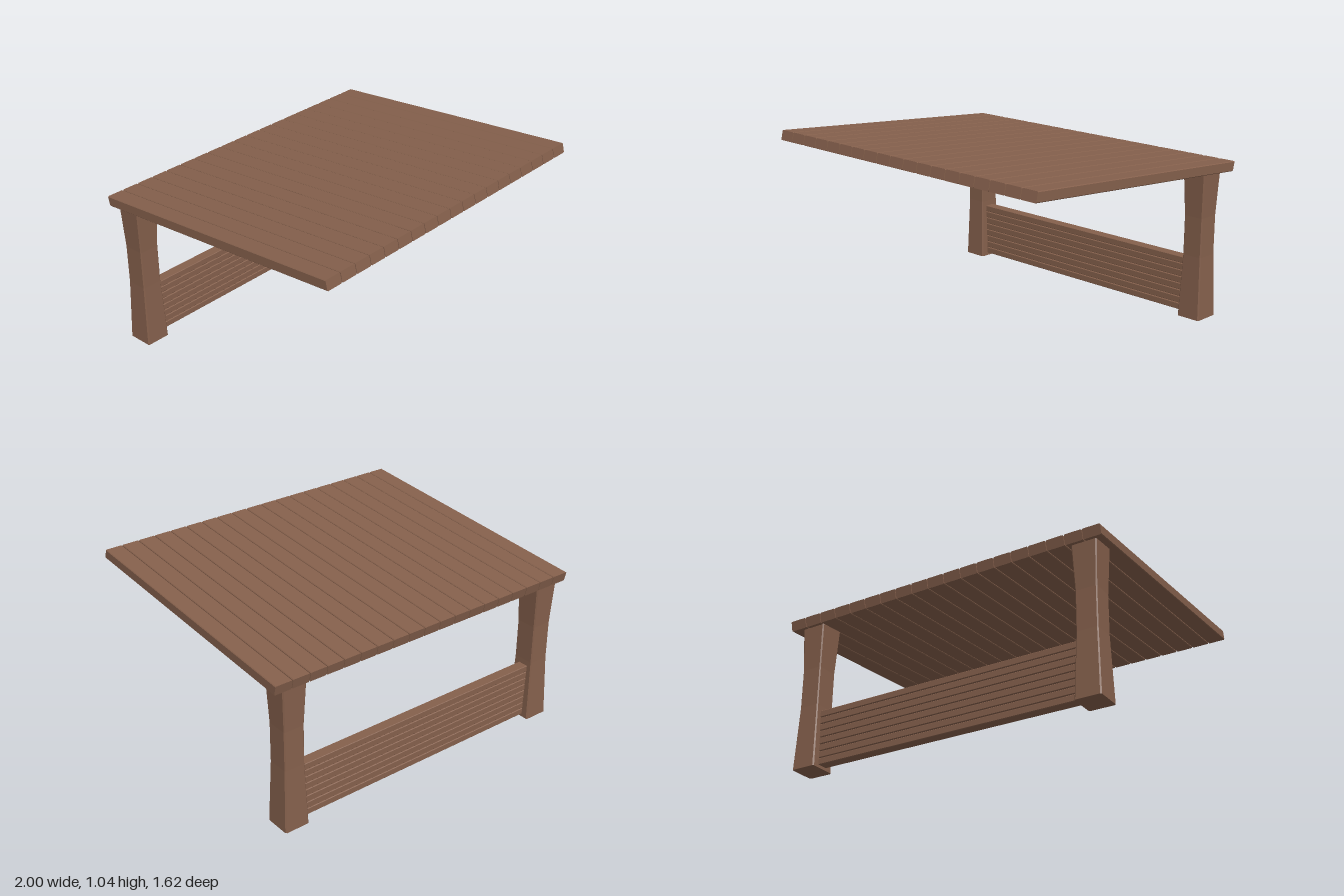
import * as THREE from 'three';

const wood = new THREE.MeshStandardMaterial({ color: 0x85604c, flatShading: true });

// Rectangle with small chamfered corners, centred on the origin
function chamferedRect(w, h, c) {
  const x = w / 2, y = h / 2;
  return new THREE.Shape([
    [x - c, -y], [x, -y + c], [x, y - c], [x - c, y],
    [-x + c, y], [-x, y - c], [-x, -y + c], [-x + c, -y],
  ].map(([a, b]) => new THREE.Vector2(a, b)));
}

// Chamfered bar along z, centred on the origin
function bar(w, h, length, c, steps = 1) {
  const g = new THREE.ExtrudeGeometry(chamferedRect(w, h, c), { depth: length, steps, bevelEnabled: false });
  return g.translate(0, 0, -length / 2);
}

function addMesh(parent, name, geometry) {
  geometry.computeVertexNormals();
  const mesh = new THREE.Mesh(geometry, wood);
  mesh.name = name;
  parent.add(mesh);
  return mesh;
}

// Sloping roof: planks side by side over a thin core that closes the gaps
function createRoof() {
  const roof = new THREE.Group();
  roof.name = 'roof';
  const slope = new THREE.Matrix4().set(
    1, 0, 0, 0,
    0, 1, 0.0773, 0.949,
    0, -0.24, 1, 0,
    0, 0, 0, 1,
  );
  const count = 19, pitch = 2 / count;
  for (let i = 0; i < count; i++) {
    const plank = bar(pitch - 0.004, 0.056, 1.604, 0.004);
    plank.translate(-1 + pitch * (i + 0.5), 0, 0).applyMatrix4(slope);
    addMesh(roof, 'roofPlank', plank);
  }
  addMesh(roof, 'roofCore', new THREE.BoxGeometry(1.98, 0.036, 1.59).applyMatrix4(slope));
  return roof;
}

// Post with a narrower waist, wider at foot and head
function createPost(x) {
  const rings = [[0, 1], [0.37, 0.83], [0.6, 0.83], [0.885, 1]];
  const g = bar(0.148, 0.155, 3, 0.007, 3).translate(0, 0, 1.5).rotateX(-Math.PI / 2);
  const p = g.attributes.position;
  for (let i = 0; i < p.count; i++) {
    const [y, s] = rings[Math.round(p.getY(i))];
    p.setXYZ(i, p.getX(i) * s, y, p.getZ(i) * s);
  }
  return g.translate(x, 0, -0.698);
}

// Low rear wall of horizontal planks between the posts
function createBackPanel() {
  const panel = new THREE.Group();
  panel.name = 'backPanel';
  const count = 8, bottom = 0.015, pitch = 0.325 / count;
  for (let i = 0; i < count; i++) {
    const plank = bar(0.064, pitch - 0.003, 1.68, 0.003).rotateY(Math.PI / 2);
    addMesh(panel, 'panelPlank', plank.translate(-0.012, bottom + pitch * (i + 0.5), -0.7));
  }
  const core = new THREE.BoxGeometry(1.67, 0.315, 0.046).translate(-0.012, bottom + 0.1625, -0.7);
  addMesh(panel, 'panelCore', core);
  return panel;
}

export function createModel() {
  const model = new THREE.Group();
  model.name = 'shelter';
  model.add(createRoof(), createBackPanel());
  addMesh(model, 'leftPost', createPost(0.86));
  addMesh(model, 'rightPost', createPost(-0.885));
  return model;
}
